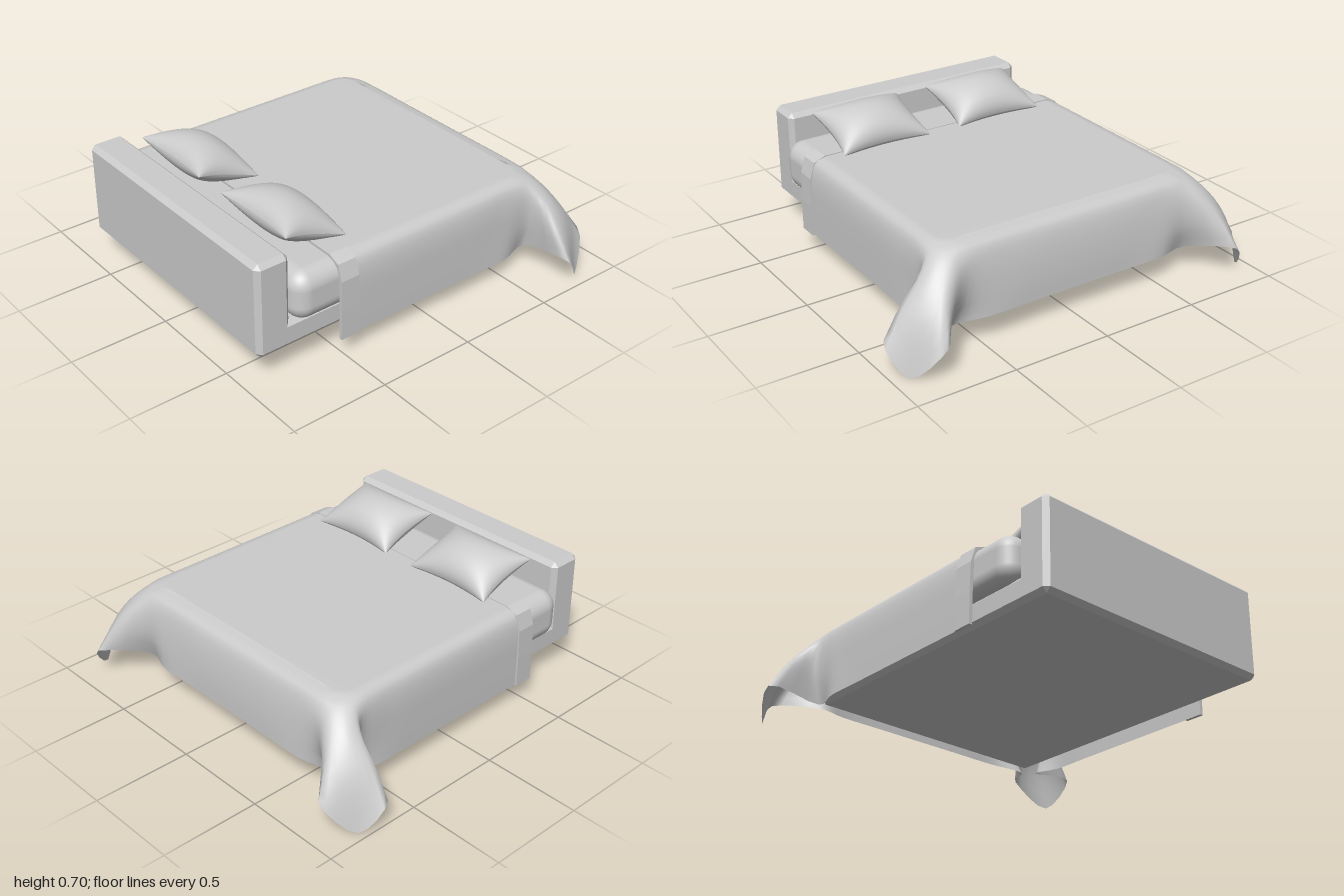
import * as THREE from 'three';
import { RoundedBoxGeometry } from 'three/addons/geometries/RoundedBoxGeometry.js';
import { ConvexGeometry } from 'three/addons/geometries/ConvexGeometry.js';

const V = (x, y, z) => new THREE.Vector3(x, y, z);
const MID_Z = -0.02; // centre line of the bed

function createMesh(name, geometry, flatShading = false, side = THREE.FrontSide) {
  const mesh = new THREE.Mesh(geometry, new THREE.MeshStandardMaterial({ color: 0xcccccc, flatShading, side }));
  mesh.name = name;
  return mesh;
}

// Box with every edge chamfered by c
function chamferBox(x0, x1, y0, y1, z0, z1, c) {
  const pts = [];
  for (const [x, sx] of [[x0, c], [x1, -c]])
    for (const [y, sy] of [[y0, c], [y1, -c]])
      for (const [z, sz] of [[z0, c], [z1, -c]])
        pts.push(V(x, y + sy, z + sz), V(x + sx, y, z + sz), V(x + sx, y + sy, z));
  return new ConvexGeometry(pts);
}

// Surface through a grid of points, rows[i][j]
function gridGeometry(rows) {
  const w = rows[0].length, index = [];
  for (let i = 0; i < rows.length - 1; i++)
    for (let j = 0; j < w - 1; j++) {
      const a = i * w + j, b = a + w;
      index.push(a, b, a + 1, b, b + 1, a + 1);
    }
  const g = new THREE.BufferGeometry().setFromPoints(rows.flat());
  g.setIndex(index);
  g.computeVertexNormals();
  return g;
}

// Each station runs from the top edge down to the hem; corners flare into a loose flap
function blanketGeometry() {
  const side = x => [V(x, 0.52, 0.66), V(x, 0.5, 0.72), V(x, 0.42, 0.745), V(x, 0.27, 0.75), V(x, 0.115, 0.75)];
  const foot = z => [V(0.64, 0.52, z), V(0.71, 0.5, z), V(0.74, 0.42, z), V(0.755, 0.27, z), V(0.755, 0.145, z)];
  const half = [
    side(-0.53), side(-0.1), side(0.3), side(0.5),
    [V(0.58, 0.52, 0.66), V(0.6, 0.495, 0.725), V(0.62, 0.42, 0.76), V(0.64, 0.27, 0.76), V(0.65, 0.12, 0.72)],
    [V(0.61, 0.52, 0.65), V(0.65, 0.49, 0.72), V(0.675, 0.4, 0.81), V(0.67, 0.29, 0.9), V(0.68, 0.15, 0.995)],
    [V(0.62, 0.52, 0.64), V(0.68, 0.49, 0.7), V(0.74, 0.39, 0.8), V(0.79, 0.24, 0.88), V(0.8, 0.005, 0.94)],
    [V(0.63, 0.52, 0.62), V(0.7, 0.49, 0.67), V(0.78, 0.4, 0.73), V(0.85, 0.29, 0.78), V(0.925, 0.17, 0.82)],
    [V(0.64, 0.52, 0.6), V(0.71, 0.495, 0.62), V(0.75, 0.42, 0.62), V(0.755, 0.27, 0.64), V(0.71, 0.13, 0.67)],
    foot(0.5), foot(0.25)
  ];
  const mirrored = half.map(s => s.map(p => V(p.x, p.y, -p.z))).reverse();
  const stations = [...half, foot(0), ...mirrored]
    .map(s => new THREE.CatmullRomCurve3(s).getPoints(12));
  const rows = stations[0].map((_, i) =>
    new THREE.CatmullRomCurve3(stations.map(s => s[i])).getPoints((stations.length - 1) * 4));
  // Flat top, closed along the centre line
  rows.unshift(rows[0].map(p => V(p.x, 0.522, 0)));
  return gridGeometry(rows).translate(0, 0, MID_Z);
}

// Folded-over band of cloth, following the side, top and side of the bed
function bandGeometry() {
  const outline = (o) => {
    const right = [[0.75, 0.112], [0.75, 0.27], [0.745, 0.42], [0.72, 0.49], [0.66, 0.515]]
      .map(([z, y], i) => new THREE.Vector2(z + o, y + (i > 2 ? o : 0)));
    return [...right, ...right.map(p => new THREE.Vector2(-p.x, p.y)).reverse()];
  };
  const shape = new THREE.Shape([...outline(0.01), ...outline(-0.008).reverse()]);
  return new THREE.ExtrudeGeometry(shape, { depth: 0.1, bevelEnabled: false })
    .rotateY(Math.PI / 2).translate(-0.533, 0, MID_Z);
}

// Half of a cushion: domed sheet with pinched edges and pointed corners
function pillowHalf(height) {
  const g = new THREE.PlaneGeometry(2, 2, 24, 24).rotateX(-Math.PI / 2);
  const p = g.attributes.position;
  for (let i = 0; i < p.count; i++) {
    const u = Math.sin(p.getX(i) * Math.PI / 2), v = Math.sin(p.getZ(i) * Math.PI / 2);
    const dome = Math.sqrt(Math.max(0, (1 - u * u) * (1 - v * v)));
    p.setXYZ(i, 0.178 * u * (1 - 0.14 * (1 - v * v)), height * dome, 0.248 * v * (1 - 0.1 * (1 - u * u)));
  }
  g.computeVertexNormals();
  return g;
}

export function createModel() {
  const bed = new THREE.Group();
  bed.name = 'bed';

  // Frame
  bed.add(createMesh('headboard', chamferBox(-0.94, -0.76, 0.145, 0.63, -0.705, 0.67, 0.024), true));
  bed.add(createMesh('base', chamferBox(-0.92, 0.7, 0.145, 0.28, -0.705, 0.67, 0.024), true));

  // Mattress
  const mattress = createMesh('mattress', new RoundedBoxGeometry(1.44, 0.253, 1.475, 6, 0.085));
  mattress.position.set(-0.04, 0.386, MID_Z);
  bed.add(mattress);

  // Bedding
  bed.add(createMesh('blanket', blanketGeometry(), false, THREE.DoubleSide));
  bed.add(createMesh('blanketFold', bandGeometry()));

  // Pillows, leaning toward the headboard
  for (const [name, z] of [['leftPillow', 0.325], ['rightPillow', -0.343]]) {
    const pillow = new THREE.Group();
    pillow.name = name;
    const bottom = createMesh('pillowBottom', pillowHalf(0.09), false, THREE.DoubleSide);
    bottom.rotation.x = Math.PI;
    pillow.add(createMesh('pillowTop', pillowHalf(0.115), false, THREE.DoubleSide), bottom);
    pillow.position.set(-0.543, 0.582, z);
    pillow.rotation.z = -0.32;
    bed.add(pillow);
  }
  return bed;
}
